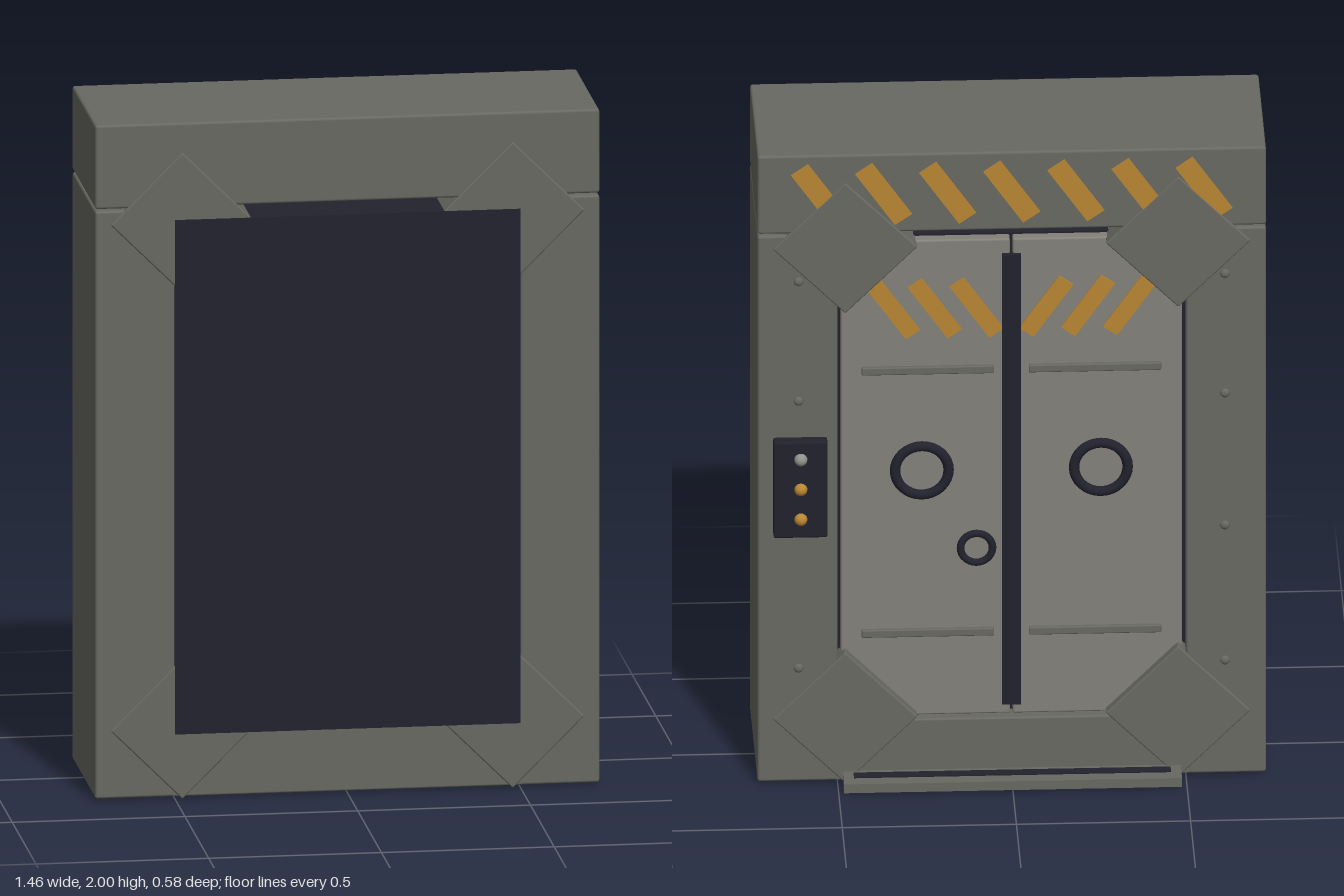
import * as THREE from 'three';
import { RoundedBoxGeometry } from 'three/addons/geometries/RoundedBoxGeometry.js';

const mat = (name, color) => {
  const m = new THREE.MeshStandardMaterial({ color });
  m.name = name;
  return m;
};

export function createModel() {
  const root = new THREE.Group();
  root.name = 'blastDoor';
  const frameGrey = mat('frame grey', 0x696962);
  const doorGrey = mat('door grey', 0x84817a);
  const dark = mat('dark blue black', 0x22222e);
  const yellow = mat('warning yellow', 0xb98632);
  const steel = mat('pale steel', 0x92928c);

  const add = (name, geo, material, x, y, z) => {
    const m = new THREE.Mesh(geo, material);
    m.name = name;
    m.position.set(x, y, z);
    root.add(m);
    return m;
  };
  // Box from its limits on each axis, with an optional rounded edge
  const box = (name, material, [x0, x1], [y0, y1], [z0, z1], r = 0) => {
    const s = [x1 - x0, y1 - y0, z1 - z0];
    const geo = r ? new RoundedBoxGeometry(...s, 2, r) : new THREE.BoxGeometry(...s);
    return add(name, geo, material, (x0 + x1) / 2, (y0 + y1) / 2, (z0 + z1) / 2);
  };

  // Frame: header, sill and posts
  const depth = [-0.2, 0.285];
  box('header', frameGrey, [-0.73, 0.73], [1.752, 2], depth, 0.008);
  box('sill', frameGrey, [-0.51, 0.51], [0.01, 0.2], depth, 0.006);
  for (const s of [-1, 1]) {
    const side = s > 0 ? 'left' : 'right';
    box(side + 'Post', frameGrey, s > 0 ? [0.5, 0.73] : [-0.73, -0.5], [0.01, 1.746], depth, 0.008);

    // Diamond corner braces running through the frame
    for (const y of [0.21, 1.705]) {
      const brace = add(side + 'CornerBrace', new RoundedBoxGeometry(0.294, 0.294, 0.495, 2, 0.005), frameGrey, s * 0.478, y, 0.0425);
      brace.rotation.z = Math.PI / 4;
    }

    // Rivets on the back of the posts
    for (const y of [0.37, 0.8, 1.22, 1.6]) {
      const rivet = add(side + 'Rivet', new THREE.SphereGeometry(0.014, 12, 8), frameGrey, s * 0.612, y, -0.2);
      rivet.scale.z = 0.6;
    }

    // Door leaf with ribs, ring and slanted stripes
    box(side + 'DoorLeaf', doorGrey, s > 0 ? [0.004, 0.49] : [-0.49, -0.004], [0.2, 1.71], [-0.172, -0.13], 0.006);
    for (const y of [0.465, 1.3]) {
      box(side + 'DoorRib', frameGrey, [s * 0.24 - 0.19, s * 0.24 + 0.19], [y - 0.012, y + 0.012], [-0.184, -0.165], 0.004);
    }
    add(side + 'DoorRing', new THREE.TorusGeometry(0.077, 0.015, 10, 32), dark, s * 0.257, 0.98, -0.174);
    for (const x of [0.1, 0.22, 0.34]) {
      const stripe = add(side + 'DoorStripe', new THREE.BoxGeometry(0.05, 0.2, 0.006), yellow, s * x, 1.495, -0.174);
      stripe.rotation.z = -s * 0.61;
    }
  }
  add('handleRing', new THREE.TorusGeometry(0.046, 0.011, 10, 28), dark, 0.1, 0.73, -0.174);

  // Dark core behind the leaves and the centre seal
  box('darkBacking', dark, [-0.5, 0.5], [0.195, 1.715], [-0.14, 0.2915]);
  box('centreSeal', dark, [-0.027, 0.027], [0.235, 1.665], [-0.187, -0.16]);

  // Warning stripes across the header
  for (let i = -3; i <= 3; i++) {
    const stripe = add('headerStripe', new THREE.BoxGeometry(0.06, 0.2, 0.006), yellow, i * 0.184, 1.875, -0.2005);
    stripe.rotation.z = -0.61;
  }

  // Threshold step with a dark inlay
  box('threshold', frameGrey, [-0.485, 0.485], [0.012, 0.04], [-0.29, -0.195]);
  box('thresholdInlay', dark, [-0.455, 0.455], [0.036, 0.043], [-0.25, -0.218]);

  // Control box with three buttons
  box('controlBox', dark, [0.53, 0.685], [0.8, 1.105], [-0.235, -0.195], 0.006);
  [[1.05, steel], [0.955, yellow], [0.86, yellow]].forEach(([y, m]) =>
    add('button', new THREE.SphereGeometry(0.019, 16, 12), m, 0.607, y, -0.235));

  return root;
}
